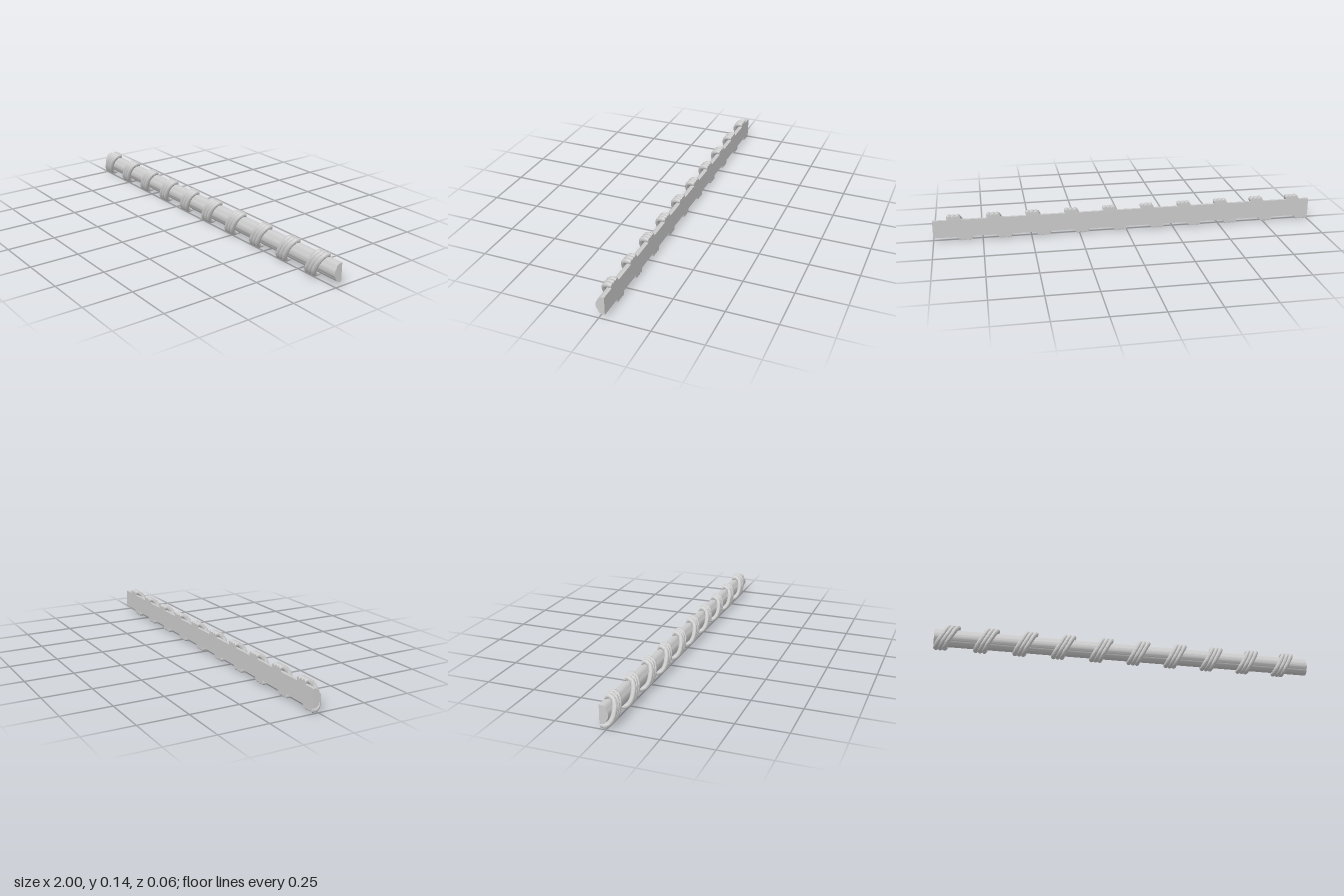
import * as THREE from 'three';
import { toCreasedNormals } from 'three/addons/utils/BufferGeometryUtils.js';

const BACK = -0.031; // plane of the flat back
const MID = 0.0705; // height of the centre line

export function createModel() {
  const model = new THREE.Group();
  const material = new THREE.MeshStandardMaterial({ color: 0xcccccc });

  // Half-round rod with a shallow ridge along the front (shape x = depth)
  const profile = new THREE.Shape();
  profile.moveTo(BACK, -0.046);
  profile.lineTo(-0.022, -0.046);
  profile.bezierCurveTo(-0.01, -0.046, 0.001, -0.038, 0.003, -0.024);
  profile.bezierCurveTo(0.009, -0.019, 0.012, -0.01, 0.012, 0);
  profile.bezierCurveTo(0.012, 0.01, 0.009, 0.019, 0.003, 0.024);
  profile.bezierCurveTo(0.001, 0.038, -0.01, 0.046, -0.022, 0.046);
  profile.lineTo(BACK, 0.046);
  profile.closePath();
  let rodGeometry = new THREE.ExtrudeGeometry(profile, { depth: 2, bevelEnabled: false, curveSegments: 8 });
  rodGeometry.translate(0, MID, -1).rotateY(-Math.PI / 2);
  rodGeometry = toCreasedNormals(rodGeometry, 0.5);
  const rod = new THREE.Mesh(rodGeometry, material);
  rod.name = 'rod';
  model.add(rod);

  // One slanted strand, pressed flat where it meets the back plane
  const half = [[0.03, -0.046], [0.052, -0.033], [0.058, -0.012], [0.046, 0.008], [0.025, 0.018]];
  const outline = [...half.map(([y, z]) => [-y, z]), [0, 0.0205], ...half.slice().reverse()];
  const path = new THREE.CatmullRomCurve3(outline.map(([y, z]) => new THREE.Vector3(y * 0.52, MID + y, z)));
  let strandGeometry = new THREE.TubeGeometry(path, 36, 0.0125, 12);
  const position = strandGeometry.attributes.position;
  for (let i = 0; i < position.count; i++) {
    position.setZ(i, Math.max(position.getZ(i), BACK));
  }
  strandGeometry = toCreasedNormals(strandGeometry, 0.7);

  // Ten wraps of three strands each
  for (let i = 0; i < 10; i++) {
    const wrap = new THREE.Group();
    wrap.name = 'wrap' + (i + 1);
    wrap.position.x = -0.935 + i * 0.2;
    for (let j = -1; j <= 1; j++) {
      const strand = new THREE.Mesh(strandGeometry, material);
      strand.name = 'strand';
      strand.position.x = j * 0.022;
      wrap.add(strand);
    }
    model.add(wrap);
  }
  return model;
}
